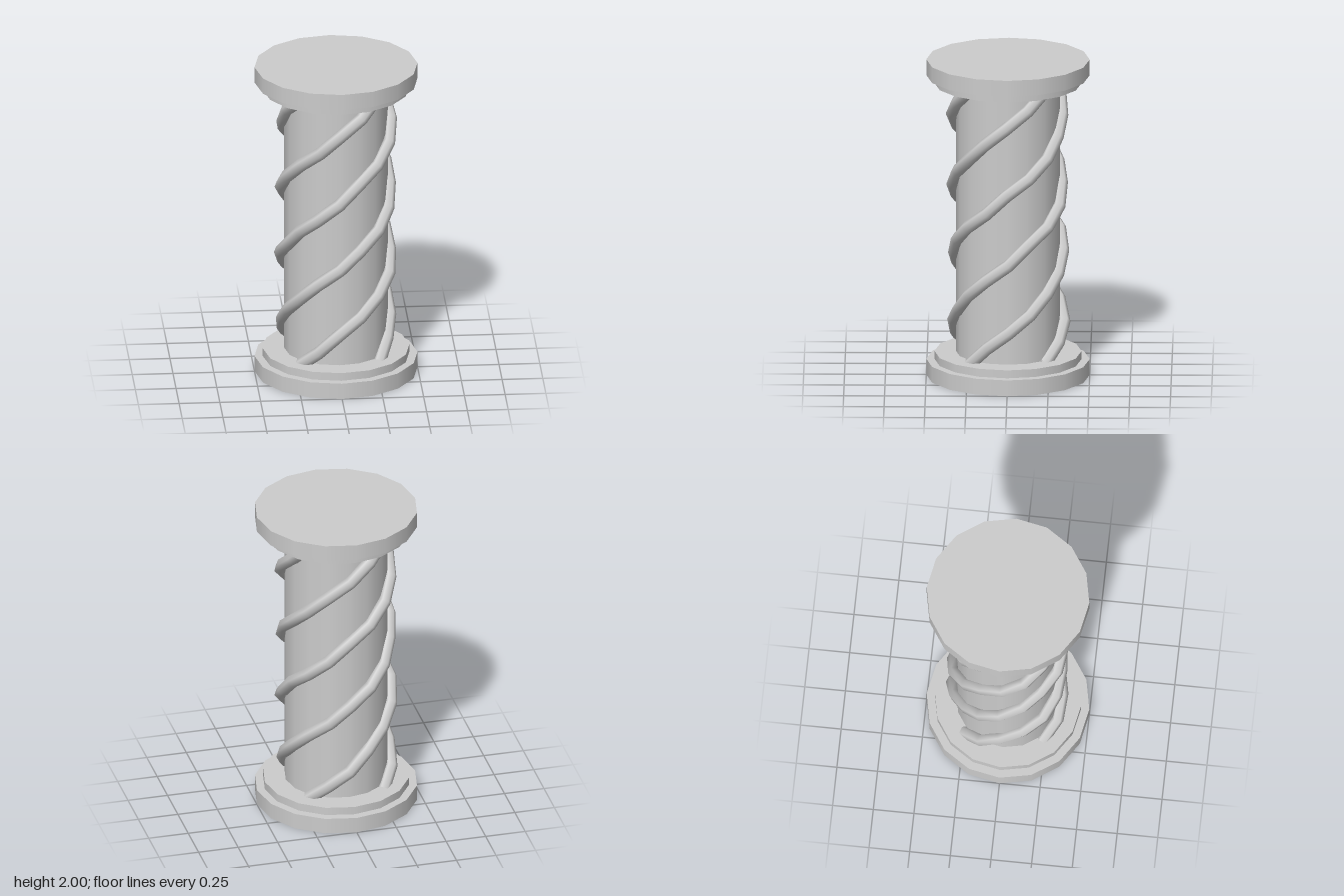
import * as THREE from 'three';

const stone = new THREE.MeshStandardMaterial({ color: 0xcccccc });
stone.name = 'greyStone';

const SIDES = 16;

function disc(name, radius, y0, y1) {
  const mesh = new THREE.Mesh(new THREE.CylinderGeometry(radius, radius, y1 - y0, SIDES), stone);
  mesh.position.y = (y0 + y1) / 2;
  mesh.name = name;
  return mesh;
}

// One vine: a full turn round the shaft, slightly irregular in reach and pitch
function vine(index) {
  const steps = 16;
  const points = [];
  for (let i = 0; i <= steps; i++) {
    const t = i / steps;
    const wobble = Math.sin(i * 2.4 + index * 1.9);
    const angle = -Math.PI / 4 + index * Math.PI / 2 + t * Math.PI * 2 + 0.03 * wobble;
    const radius = 0.335 + 0.008 * Math.sin(i * 1.7 + index * 2.3);
    points.push(new THREE.Vector3(
      radius * Math.sin(angle), 0.13 + 1.74 * t, radius * Math.cos(angle)));
  }
  const curve = new THREE.CatmullRomCurve3(points);
  const mesh = new THREE.Mesh(new THREE.TubeGeometry(curve, steps, 0.04, 6), stone);
  mesh.name = 'vine' + (index + 1);
  return mesh;
}

export function createModel() {
  const model = new THREE.Group();
  model.name = 'column';

  // Shaft between the stepped base and capital
  model.add(disc('shaft', 0.318, 0.1, 1.9));
  model.add(disc('basePlinth', 0.5, 0, 0.1));
  model.add(disc('baseStep', 0.45, 0.1, 0.15));
  model.add(disc('capitalStep', 0.45, 1.85, 1.9));
  model.add(disc('capitalPlate', 0.5, 1.9, 2));

  // Four vines spaced a quarter turn apart
  for (let i = 0; i < 4; i++) model.add(vine(i));
  return model;
}
